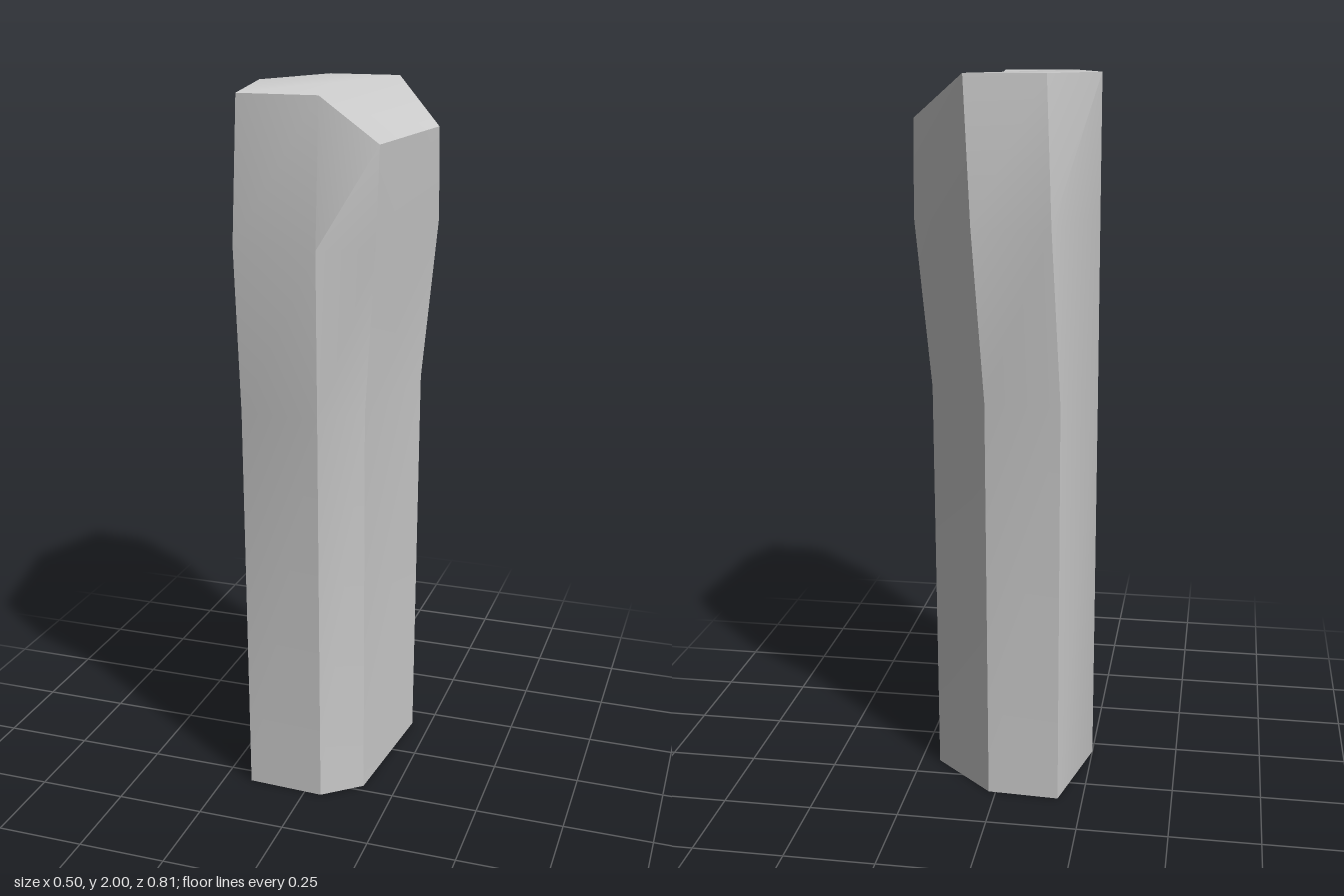
import * as THREE from 'three';
import { toCreasedNormals } from 'three/addons/utils/BufferGeometryUtils.js';

// Seven-sided cross-sections from bottom to top, each corner as [x, z],
// running front-left, front-right, right front, right back, back right, back left, left.
const sections = [
  { y: 0, pts: [[-0.17, 0.30], [0.05, 0.31], [0.155, 0.225], [0.195, -0.175], [0.02, -0.335], [-0.18, -0.345], [-0.25, -0.05]] },
  { y: 1.15, pts: [[-0.17, 0.315], [0.05, 0.325], [0.155, 0.235], [0.2, -0.18], [0.025, -0.345], [-0.18, -0.355], [-0.25, -0.05]] },
  { y: 1.62, pts: [[-0.15, 0.40], [0.075, 0.405], [0.205, 0.315], [0.243, -0.187], [0.05, -0.395], [-0.16, -0.41], [-0.25, -0.06]] },
  { y: 2, pts: [[-0.135, 0.395], [0.085, 0.405], [0.22, 0.335], [0.25, -0.14], [0.075, -0.355], [-0.14, -0.365], [-0.25, -0.065]] },
];
const SIDES = 7;

function loftGeometry() {
  const positions = [];
  const index = [];
  sections.forEach(({ y, pts }, s) => {
    pts.forEach(([x, z], i) => {
      // the top dips at its two right-hand corners
      const dipped = s === sections.length - 1 && (i === 2 || i === 3);
      positions.push(x, dipped ? 1.88 : y, z);
    });
  });

  // side walls
  for (let s = 0; s < sections.length - 1; s++) {
    for (let i = 0; i < SIDES; i++) {
      const a = s * SIDES + i;
      const b = s * SIDES + (i + 1) % SIDES;
      index.push(a, b, b + SIDES, a, b + SIDES, a + SIDES);
    }
  }

  // bottom and top caps, fanned from the front-left corner
  const top = (sections.length - 1) * SIDES;
  for (let i = 1; i < SIDES - 1; i++) {
    index.push(0, i + 1, i);
    index.push(top, top + i, top + i + 1);
  }

  const geometry = new THREE.BufferGeometry();
  geometry.setAttribute('position', new THREE.Float32BufferAttribute(positions, 3));
  geometry.setIndex(index);
  return toCreasedNormals(geometry, 0.6);
}

export function createModel() {
  const group = new THREE.Group();
  group.name = 'stonePillar';
  const pillar = new THREE.Mesh(loftGeometry(), new THREE.MeshStandardMaterial({ color: 0xcccccc }));
  pillar.name = 'pillar';
  group.add(pillar);
  return group;
}
